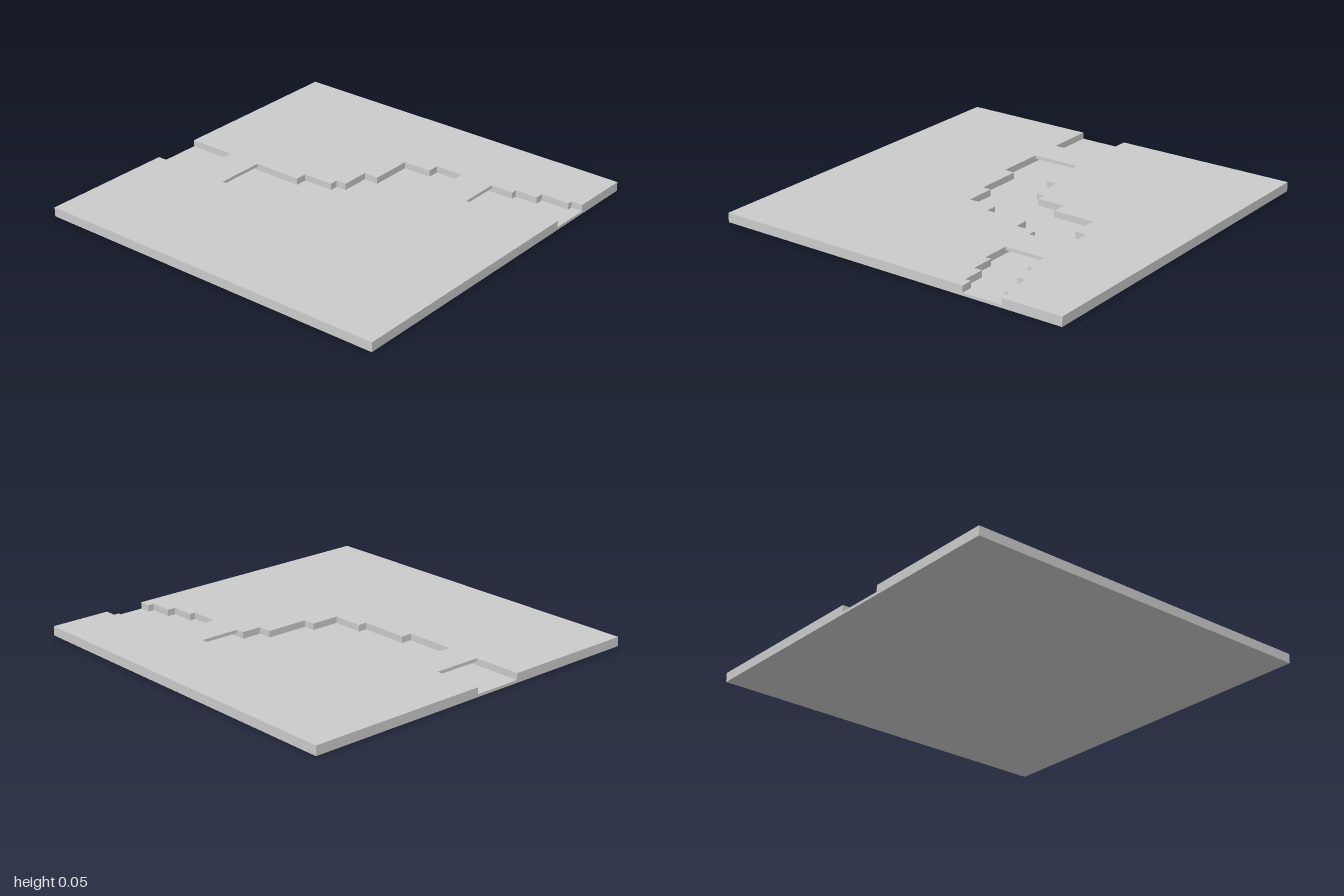
import * as THREE from 'three';

const TOP = 0.05, BED = 0.015, BRIDGE_UNDER = 0.033;

// Stepped river banks as [x, z], running from the -x edge to the +x edge
const northBank = [
  [-1, 0], [-0.28, 0], [-0.28, -0.063], [-0.11, -0.063], [-0.11, -0.11], [-0.053, -0.11],
  [-0.053, -0.267], [0.028, -0.267], [0.028, -0.5], [0.185, -0.5], [0.185, -0.565],
  [0.655, -0.565], [0.655, -0.597], [0.78, -0.597], [0.78, -0.645], [0.937, -0.645],
  [0.937, -0.673], [1, -0.673],
];
const southBank = [
  [-1, 0.265], [-0.28, 0.265], [-0.28, 0.205], [-0.015, 0.205], [-0.015, 0.157], [0.155, 0.157],
  [0.155, 0], [0.22, 0], [0.22, -0.235], [0.295, -0.235], [0.295, -0.345], [0.685, -0.345],
  [0.685, -0.377], [0.813, -0.377], [0.813, -0.422], [0.937, -0.422], [0.937, -0.455], [1, -0.455],
];

export function createModel() {
  const group = new THREE.Group();
  const material = new THREE.MeshStandardMaterial({ color: 0xcccccc });

  const add = (name, geometry) => {
    const mesh = new THREE.Mesh(geometry, material);
    mesh.name = name;
    group.add(mesh);
    return mesh;
  };

  // Flat plan outline raised from y = 0 to the given height
  const slab = (name, outline, height) => {
    const shape = new THREE.Shape(outline.map(([x, z]) => new THREE.Vector2(x, -z)));
    const geometry = new THREE.ExtrudeGeometry(shape, { depth: height, bevelEnabled: false });
    add(name, geometry.rotateX(-Math.PI / 2));
  };

  // Land on both sides of the channel, and the lower river bed between
  slab('northLand', [...northBank, [1, -1], [-1, -1]], TOP);
  slab('southLand', [...southBank, [1, 1], [-1, 1]], TOP);
  slab('riverBed', [...northBank, ...southBank.slice().reverse()], BED);

  // Thin bridge decks flush with the land, open underneath
  const bridge = (name, x0, x1, z0, z1) => {
    const deck = add(name, new THREE.BoxGeometry(x1 - x0, TOP - BRIDGE_UNDER, z1 - z0));
    deck.position.set((x0 + x1) / 2, (TOP + BRIDGE_UNDER) / 2, (z0 + z1) / 2);
  };
  bridge('westBridge', -0.737, -0.55, 0, 0.265);
  bridge('eastBridge', 0.342, 0.53, -0.565, -0.345);

  return group;
}
